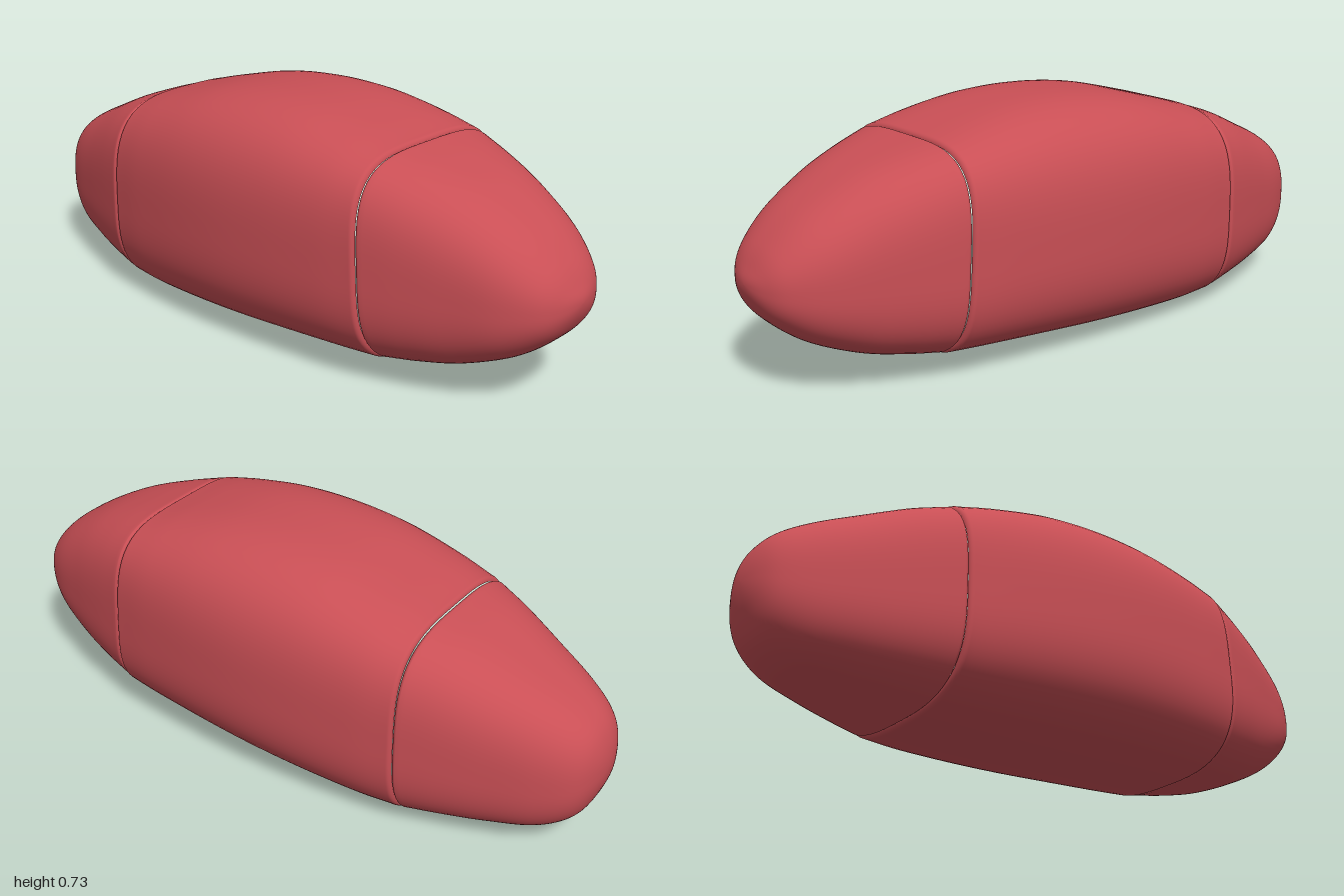
import * as THREE from 'three';

const SIDES = 96, STEPS = 8, FILLET = 0.014;

// Stations: x, top y, bottom y, half width, upper and lower squareness
const rearCap = [
  [-1, 0.28, 0.28, 0, 2.3, 2.3],
  [-0.985, 0.36, 0.195, 0.08, 2.4, 2.4],
  [-0.945, 0.42, 0.115, 0.14, 2.6, 2.5],
  [-0.86, 0.475, 0.063, 0.192, 2.8, 2.7],
  [-0.73, 0.535, 0.038, 0.243, 3, 2.9],
  [-0.61, 0.587, 0.022, 0.285, 3.2, 3],
  [-0.51, 0.619, 0.01, 0.317, 3.4, 3],
];
const middle = [
  [-0.482, 0.63, 0.005, 0.322, 3.4, 3],
  [-0.36, 0.665, 0.004, 0.343, 3.3, 3],
  [-0.18, 0.709, 0.01, 0.362, 3.1, 3],
  [0, 0.728, 0.019, 0.369, 3, 3],
  [0.18, 0.723, 0.03, 0.362, 3.1, 3],
  [0.36, 0.694, 0.041, 0.344, 3.4, 3],
  [0.482, 0.665, 0.049, 0.325, 3.8, 3],
];
const noseCap = [
  [0.51, 0.657, 0.055, 0.317, 3.8, 3],
  [0.61, 0.629, 0.07, 0.29, 3.4, 2.9],
  [0.73, 0.584, 0.097, 0.252, 3, 2.8],
  [0.86, 0.51, 0.152, 0.203, 2.7, 2.6],
  [0.945, 0.435, 0.218, 0.145, 2.5, 2.5],
  [0.985, 0.375, 0.275, 0.08, 2.4, 2.4],
  [1, 0.33, 0.33, 0, 2.3, 2.3],
];

// Smooth interpolation through the stations; closed tips mirror across the pole
function sampleStations(stations) {
  const tip = (end, next) => end[3] === 0
    ? [next[0], next[2], next[1], -next[3], next[4], next[5]]
    : end.map((v, k) => 2 * v - next[k]);
  const n = stations.length;
  const p = [tip(stations[0], stations[1]), ...stations, tip(stations[n - 1], stations[n - 2])];
  const rings = [];
  for (let i = 1; i < n; i++) {
    for (let s = 0; s < STEPS; s++) {
      const t = s / STEPS;
      rings.push(p[i].map((b, k) => {
        const a = p[i - 1][k], c = p[i + 1][k], d = p[i + 2][k];
        return b + 0.5 * t * (c - a + t * (2 * a - 5 * b + 4 * c - d + t * (3 * (b - c) + d - a)));
      }));
    }
  }
  rings.push(stations[n - 1]);
  return rings;
}

// Rounded lip that rolls inward at an open end
function lip(edge, direction) {
  const rings = [];
  for (let i = 1; i <= 6; i++) {
    const a = (i / 6) * Math.PI / 2, inset = FILLET * (1 - Math.cos(a));
    rings.push([edge[0] + direction * FILLET * Math.sin(a), edge[1] - inset,
      edge[2] + inset, edge[3] - inset, edge[4], edge[5]]);
  }
  return rings;
}

function loft(name, stations, material) {
  const rings = sampleStations(stations);
  const first = stations[0], last = stations[stations.length - 1];
  if (first[3] > 0) rings.unshift(...lip(first, -1).reverse());
  if (last[3] > 0) rings.push(...lip(last, 1));
  const positions = [], indices = [];
  rings.forEach(([x, top, bottom, half, upper, lower], i) => {
    const mid = bottom + (top - bottom) * 0.47;
    for (let j = 0; j < SIDES; j++) {
      const a = (j / SIDES) * Math.PI * 2, c = Math.cos(a), s = Math.sin(a);
      const n = s > 0 ? upper : lower;
      const r = Math.pow(Math.abs(c) ** n + Math.abs(s) ** n, -1 / n);
      const y = mid + r * s * (s > 0 ? top - mid : mid - bottom);
      // The nose seam leans forward toward the bottom
      const lean = 0.055 * Math.exp(-(((x - 0.5) / 0.17) ** 2)) * (0.35 - y);
      positions.push(x + lean, y, r * c * half);
      if (i < rings.length - 1) {
        const k = (j + 1) % SIDES, p = i * SIDES, q = p + SIDES;
        indices.push(p + j, q + j, p + k, q + j, q + k, p + k);
      }
    }
  });
  const geometry = new THREE.BufferGeometry();
  geometry.setAttribute('position', new THREE.Float32BufferAttribute(positions, 3));
  geometry.setIndex(indices);
  geometry.computeVertexNormals();
  const mesh = new THREE.Mesh(geometry, material);
  mesh.name = name;
  return mesh;
}

export function createModel() {
  const red = new THREE.MeshStandardMaterial({ color: 0xc94f55 });
  red.name = 'soft red';
  const group = new THREE.Group();
  group.name = 'segmentedPod';
  group.add(
    loft('rearCap', rearCap, red),
    loft('middleBody', middle, red),
    loft('noseCap', noseCap, red),
  );
  return group;
}
